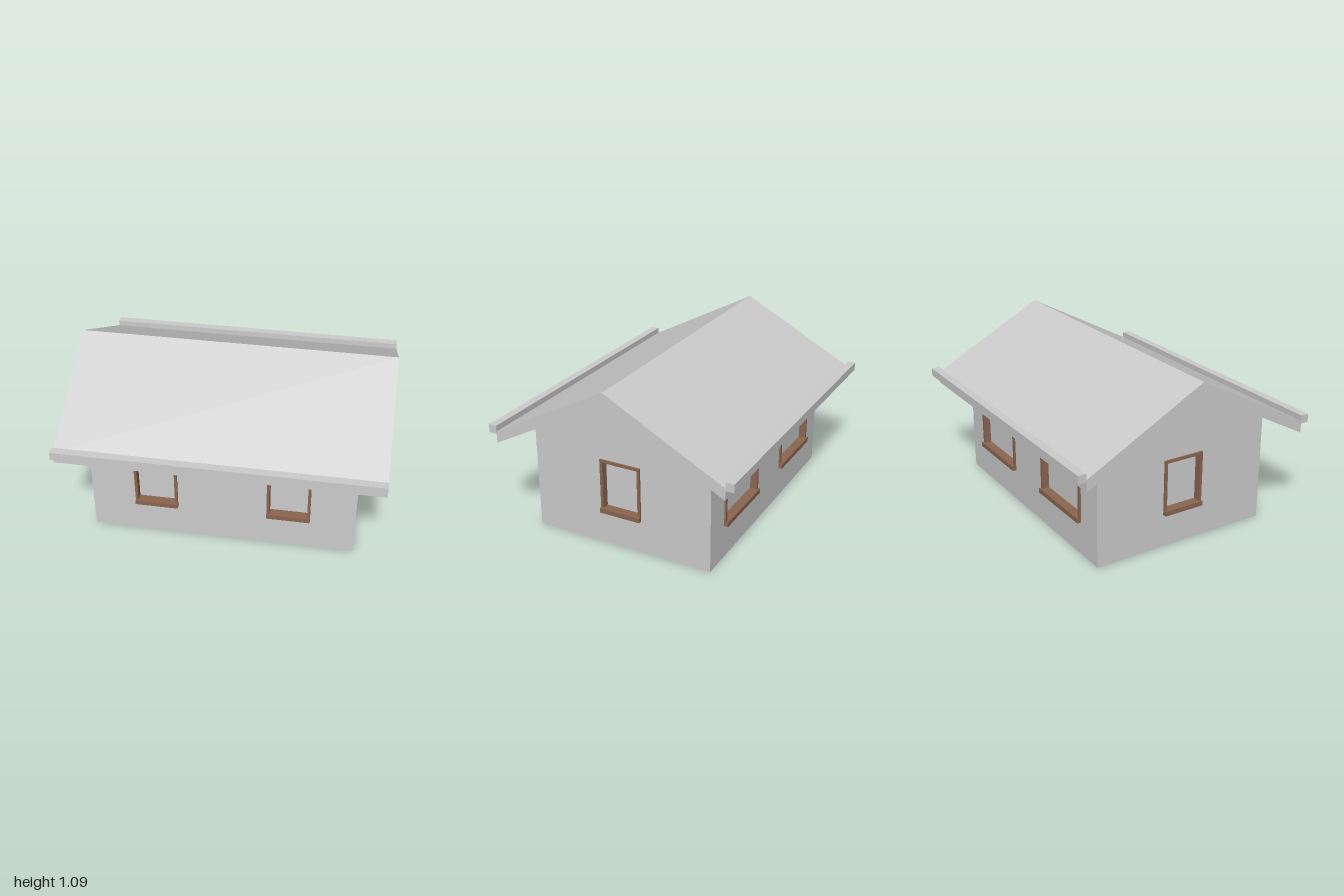
import * as THREE from 'three';

const HALF_X = 0.833, HALF_Z = 0.597;      // wall planes
const SLOPE = 0.5315, RIDGE = 1.01;        // underside of the roof
const EAVE_Z = 0.762, ROOF_T = 0.075;
const WIN_Y0 = 0.215, WIN_Y1 = 0.57;       // window bottom and top
const BAR = 0.018, SILL_H = 0.03, OUT = 0.012, SILL_OUT = 0.026, IN = 0.035;

export function createModel() {
  const plaster = new THREE.MeshStandardMaterial({ color: 0xcccccc, side: THREE.DoubleSide });
  plaster.name = 'light grey';
  const wood = new THREE.MeshStandardMaterial({ color: 0x8b6650 });
  wood.name = 'brown wood';

  const house = new THREE.Group();
  house.name = 'house';

  const add = (parent, name, geometry, material, x = 0, y = 0, z = 0) => {
    const mesh = new THREE.Mesh(geometry, material);
    mesh.name = name;
    mesh.position.set(x, y, z);
    parent.add(mesh);
    return mesh;
  };
  const polygon = (points) => new THREE.Shape(points.map(([x, y]) => new THREE.Vector2(x, y)));

  // Recessed window: wooden frame, projecting sill, pane at the inner face
  function addWindow(parent, cx, w) {
    const group = new THREE.Group();
    group.name = 'window';
    group.position.x = cx;
    const depth = OUT + IN, zMid = (OUT - IN) / 2;
    const jambH = WIN_Y1 - WIN_Y0 - SILL_H;
    for (const s of [-1, 1]) {
      add(group, 'windowJamb', new THREE.BoxGeometry(BAR, jambH, depth), wood,
        s * (w - BAR) / 2, WIN_Y0 + SILL_H + jambH / 2, zMid);
    }
    add(group, 'windowHead', new THREE.BoxGeometry(w - 2 * BAR, BAR, depth), wood,
      0, WIN_Y1 - BAR / 2, zMid);
    add(group, 'windowSill', new THREE.BoxGeometry(w, SILL_H, SILL_OUT + IN), wood,
      0, WIN_Y0 + SILL_H / 2, (SILL_OUT - IN) / 2);
    add(group, 'windowPane', new THREE.PlaneGeometry(w, WIN_Y1 - WIN_Y0), plaster,
      0, (WIN_Y0 + WIN_Y1) / 2, -IN - 0.001);
    parent.add(group);
  }

  // One wall facing local +z, pierced for its windows
  function addWall(name, outline, windows, angle, distance) {
    const group = new THREE.Group();
    group.name = name;
    const shape = polygon(outline);
    for (const [cx, w] of windows) {
      const a = cx - w / 2, b = cx + w / 2;
      shape.holes.push(polygon([[a, WIN_Y0], [a, WIN_Y1], [b, WIN_Y1], [b, WIN_Y0]]));
      addWindow(group, cx, w);
    }
    add(group, name + 'Surface', new THREE.ShapeGeometry(shape), plaster);
    group.rotation.y = angle;
    group.position.set(Math.sin(angle) * distance, 0, Math.cos(angle) * distance);
    house.add(group);
  }

  const eaveY = RIDGE - SLOPE * HALF_Z;
  const longWall = [[-HALF_X, 0], [HALF_X, 0], [HALF_X, eaveY], [-HALF_X, eaveY]];
  const gable = [[-HALF_Z, 0], [HALF_Z, 0], [HALF_Z, eaveY], [0, RIDGE], [-HALF_Z, eaveY]];
  addWall('frontWall', longWall, [[-0.417, 0.272], [0.417, 0.272]], 0, HALF_Z);
  addWall('backWall', longWall, [[-0.417, 0.47], [0.417, 0.47]], Math.PI, HALF_Z);
  addWall('leftGable', gable, [[0, 0.272]], Math.PI / 2, HALF_X);
  addWall('rightGable', gable, [[0, 0.272]], -Math.PI / 2, HALF_X);

  // Pitched roof slab with vertical eave faces
  const edge = RIDGE - SLOPE * EAVE_Z;
  const roofShape = polygon([
    [-EAVE_Z, edge], [0, RIDGE], [EAVE_Z, edge],
    [EAVE_Z, edge + ROOF_T], [0, RIDGE + ROOF_T], [-EAVE_Z, edge + ROOF_T],
  ]);
  const roofGeometry = new THREE.ExtrudeGeometry(roofShape, { depth: 2, bevelEnabled: false });
  roofGeometry.translate(0, 0, -1).rotateY(Math.PI / 2);
  add(house, 'roof', roofGeometry, plaster);

  // Square gutters along both eaves
  for (const s of [-1, 1]) {
    add(house, s > 0 ? 'frontGutter' : 'backGutter',
      new THREE.BoxGeometry(2, 0.053, 0.053), plaster, 0, 0.691, s * (EAVE_Z + 0.0265));
  }

  return house;
}
